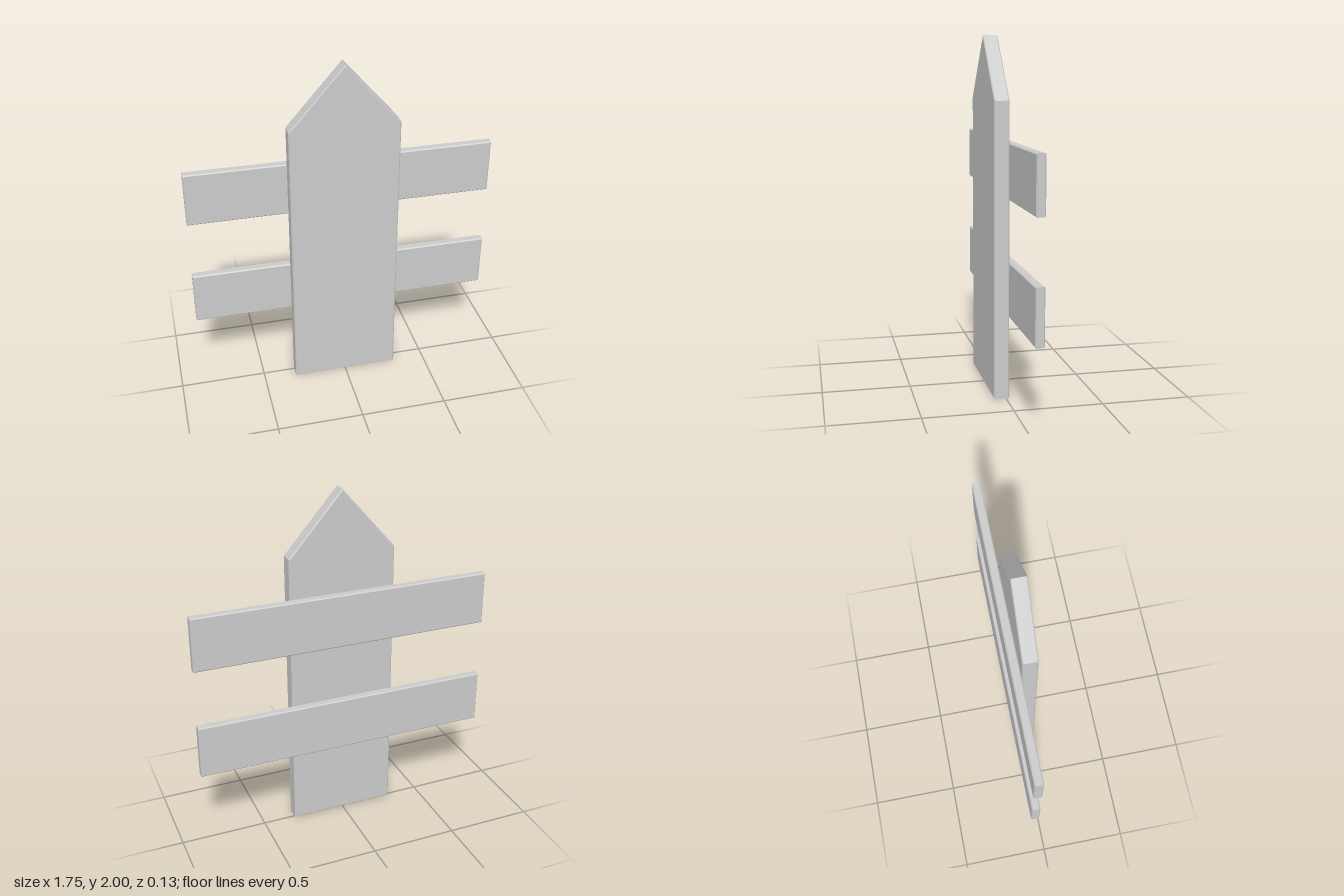
import * as THREE from 'three';

const material = new THREE.MeshStandardMaterial({ color: 0xcccccc, flatShading: true });
const BEVEL = 0.006;

// Flat board cut from an outline, with a fine chamfer round both faces
function board(name, points, zBack, zFront) {
  const shape = new THREE.Shape(points.map(([x, y]) => new THREE.Vector2(x, y)));
  const geometry = new THREE.ExtrudeGeometry(shape, {
    depth: zFront - zBack - 2 * BEVEL,
    bevelEnabled: true,
    bevelThickness: BEVEL,
    bevelSize: BEVEL,
    bevelOffset: -BEVEL,
    bevelSegments: 1,
  });
  geometry.translate(0, 0, zBack + BEVEL);
  const mesh = new THREE.Mesh(geometry, material);
  mesh.name = name;
  return mesh;
}

export function createModel() {
  const group = new THREE.Group();
  group.name = 'picketFence';

  // Upright picket with a pointed top
  const w = 0.31;
  group.add(board('picket', [[-w, 0], [w, 0], [w, 1.648], [0, 2], [-w, 1.648]], -0.017, 0.067));

  // Two horizontal rails behind the picket
  const l = 0.875, h = 0.155;
  for (const [name, y] of [['lowerRail', 0.615], ['upperRail', 1.267]]) {
    group.add(board(name, [[-l, y - h], [l, y - h], [l, y + h], [-l, y + h]], -0.067, -0.017));
  }
  return group;
}
